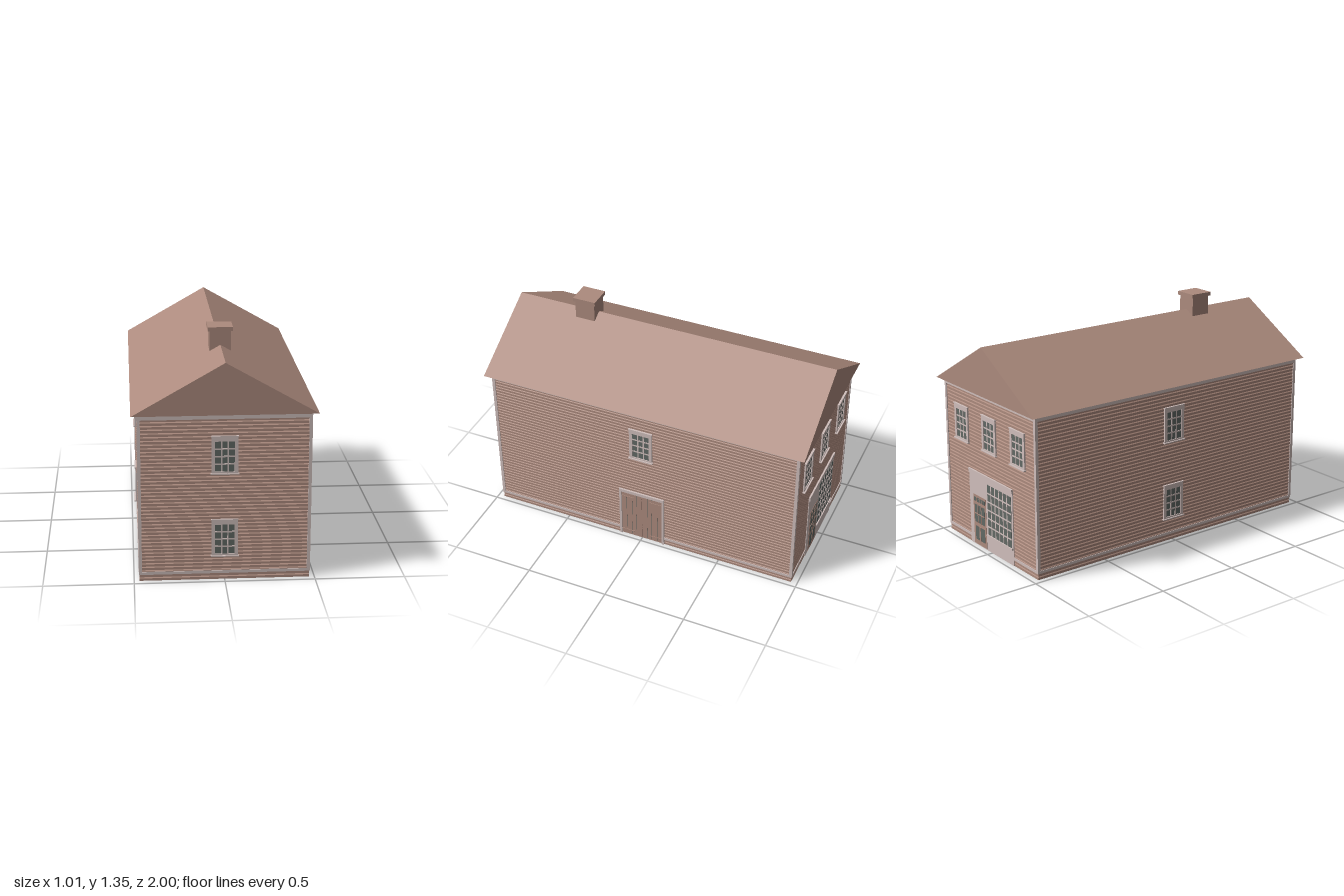
import * as THREE from 'three';

const brown = new THREE.MeshStandardMaterial({ color: 0xad8b7e });
brown.name = 'brown timber';
const trim = new THREE.MeshStandardMaterial({ color: 0xd0bfbc });
trim.name = 'pale trim';
const glass = new THREE.MeshStandardMaterial({ color: 0x626965 });
glass.name = 'dark glass';

const HX = 0.47, HZ = 0.962, EAVE = 0.956;

// Box given by its bounds: x0..x1, y0..y1, z0..z1
function box(parent, name, mat, x0, x1, y0, y1, z0, z1) {
  const m = new THREE.Mesh(new THREE.BoxGeometry(x1 - x0, y1 - y0, z1 - z0), mat);
  m.position.set((x0 + x1) / 2, (y0 + y1) / 2, (z0 + z1) / 2);
  m.name = name;
  parent.add(m);
  return m;
}

// Four-sided shell through rings given as [height, inset], open at both ends
function shell(name, profile) {
  const pos = [];
  const rings = profile.map(([y, d]) => [[-1, 1], [1, 1], [1, -1], [-1, -1]]
    .map(([sx, sz]) => [sx * (HX - d), y, sz * (HZ - d)]));
  for (let r = 0; r < rings.length - 1; r++) {
    for (let k = 0; k < 4; k++) {
      const n = (k + 1) % 4;
      const [a, b, c, d] = [rings[r][k], rings[r][n], rings[r + 1][n], rings[r + 1][k]];
      pos.push(...a, ...b, ...c, ...a, ...c, ...d);
    }
  }
  const g = new THREE.BufferGeometry();
  g.setAttribute('position', new THREE.Float32BufferAttribute(pos, 3));
  g.computeVertexNormals();
  const m = new THREE.Mesh(g, brown);
  m.name = name;
  return m;
}

// Siding boards: an upright face, then a bevel stepping in towards the next board
function siding() {
  const rows = 46, pitch = EAVE / rows, profile = [];
  for (let i = 0; i < rows; i++) {
    const y = i * pitch;
    profile.push([y, 0], [y + pitch * 0.65, 0], [y + pitch, 0.006]);
  }
  return shell('sidingBoards', profile);
}

// Glass pane with a grid of glazing bars
function glazing(g, x0, x1, y0, y1, cols, rows, z, bar, mat = trim) {
  box(g, 'pane', glass, x0, x1, y0, y1, z - 0.004, z);
  for (let i = 1; i < cols; i++) {
    const x = x0 + (x1 - x0) * i / cols;
    box(g, 'verticalBar', mat, x - bar / 2, x + bar / 2, y0, y1, z - 0.002, z + 0.002);
  }
  for (let i = 1; i < rows; i++) {
    const y = y0 + (y1 - y0) * i / rows;
    box(g, 'horizontalBar', mat, x0, x1, y - bar / 2, y + bar / 2, z - 0.002, z + 0.002);
  }
}

// Sash window, its base at y, on a wall facing local +z
function sashWindow(wall, x, y, d) {
  const g = new THREE.Group();
  g.name = 'window';
  g.position.set(x, y, d);
  wall.add(g);
  for (const s of [-1, 1]) {
    box(g, 'sideCasing', trim, s * 0.0625 - 0.0095, s * 0.0625 + 0.0095, 0, 0.217, -0.007, 0.008);
  }
  box(g, 'headCasing', trim, -0.055, 0.055, 0.186, 0.217, -0.007, 0.008);
  box(g, 'bottomRail', trim, -0.055, 0.055, 0, 0.015, -0.007, 0.008);
  box(g, 'sill', trim, -0.077, 0.077, 0, 0.006, -0.007, 0.016);
  box(g, 'headCap', trim, -0.075, 0.075, 0.213, 0.218, -0.007, 0.012);
  glazing(g, -0.053, 0.053, 0.015, 0.186, 3, 4, 0.003, 0.008);
}

// Plank double door with strap hinges
function doubleDoor(wall, d) {
  const g = new THREE.Group();
  g.name = 'doubleDoor';
  g.position.z = d;
  wall.add(g);
  for (const s of [-1, 1]) {
    box(g, 'doorCasing', trim, s * 0.139 - 0.007, s * 0.139 + 0.007, 0, 0.355, -0.007, 0.009);
    box(g, 'doorLeaf', brown, Math.min(s * 0.001, s * 0.132), Math.max(s * 0.001, s * 0.132), 0.005, 0.335, -0.007, 0.002);
    for (const x of [0.036, 0.064, 0.1]) {
      box(g, 'plankSeam', glass, s * x - 0.001, s * x + 0.001, 0.01, 0.332, 0.001, 0.0025);
    }
    for (const y of [0.035, 0.302]) {
      box(g, 'strapHinge', brown, s * 0.091 - 0.041, s * 0.091 + 0.041, y - 0.003, y + 0.003, 0.001, 0.005);
    }
  }
  box(g, 'doorHead', trim, -0.146, 0.146, 0.335, 0.355, -0.007, 0.011);
}

// Shopfront: glazed door beside a large display window
function shopfront(wall, d) {
  const g = new THREE.Group();
  g.name = 'shopfront';
  g.position.z = d;
  wall.add(g);
  box(g, 'shopSurround', trim, -0.23, 0.23, 0, 0.465, -0.007, 0.004);
  box(g, 'shopCornice', trim, -0.23, 0.23, 0.44, 0.465, -0.007, 0.01);
  glazing(g, -0.035, 0.215, 0.105, 0.415, 6, 6, 0.0055, 0.008);
  box(g, 'displaySill', trim, -0.045, 0.225, 0.095, 0.105, 0, 0.012);
  box(g, 'shopDoor', brown, -0.19, -0.055, 0.005, 0.315, 0, 0.0055);
  glazing(g, -0.18, -0.065, 0.275, 0.3, 4, 1, 0.007, 0.006, brown);
  glazing(g, -0.176, -0.069, 0.145, 0.255, 3, 2, 0.007, 0.006, brown);
  glazing(g, -0.172, -0.073, 0.035, 0.12, 2, 1, 0.007, 0.014, brown);
}

export function createModel() {
  const model = new THREE.Group();
  model.name = 'house';
  // Siding outside, plain lining inside, open underneath
  model.add(siding(), shell('innerLining', [[EAVE, 0.008], [0, 0.008], [0, 0]]));

  // Walls, each in its own frame facing local +z
  const walls = [['frontWall', 0, HX, HZ], ['rightWall', Math.PI / 2, HZ, HX],
    ['backWall', Math.PI, HX, HZ], ['leftWall', -Math.PI / 2, HZ, HX]].map(([name, turn, half, d]) => {
    const w = new THREE.Group();
    w.name = name;
    w.rotation.y = turn;
    model.add(w);
    const e = half + 0.004;
    for (const s of [-1, 1]) {
      box(w, 'cornerBoard', trim, s * (e - 0.009) - 0.009, s * (e - 0.009) + 0.009, 0.052, 0.925, d - 0.007, d + 0.004);
    }
    box(w, 'frieze', trim, -e, e, 0.925, EAVE, d - 0.007, d + 0.004);
    // The sill board stops at openings that reach the ground
    const gap = name === 'rightWall' ? 0.14 : name === 'backWall' ? 0.22 : 0;
    for (const s of [-1, 1]) {
      box(w, 'baseBoard', trim, Math.min(s * gap, s * e), Math.max(s * gap, s * e), 0.036, 0.052, d - 0.007, d + 0.004);
    }
    return w;
  });
  const [front, right, back, left] = walls;

  for (const y of [0.137, 0.614]) {
    sashWindow(front, 0, y, HZ);
    sashWindow(left, 0, y, HX);
  }
  sashWindow(right, 0, 0.614, HX);
  for (const x of [-0.295, 0, 0.295]) sashWindow(back, x, 0.614, HZ);
  doubleDoor(right, HX);
  shopfront(back, HZ);

  // Solid gable roof
  const gable = new THREE.Shape([
    new THREE.Vector2(-0.506, EAVE), new THREE.Vector2(0.506, EAVE), new THREE.Vector2(0, 1.244)]);
  const roof = new THREE.Mesh(new THREE.ExtrudeGeometry(gable, { depth: 2, bevelEnabled: false }), brown);
  roof.position.z = -1;
  roof.name = 'roof';
  model.add(roof);

  // Chimney
  box(model, 'chimneyStack', brown, -0.06, 0.06, 1.2, 1.325, 0.48, 0.603);
  box(model, 'chimneyCap', brown, -0.07, 0.07, 1.323, 1.346, 0.47, 0.612);
  return model;
}
